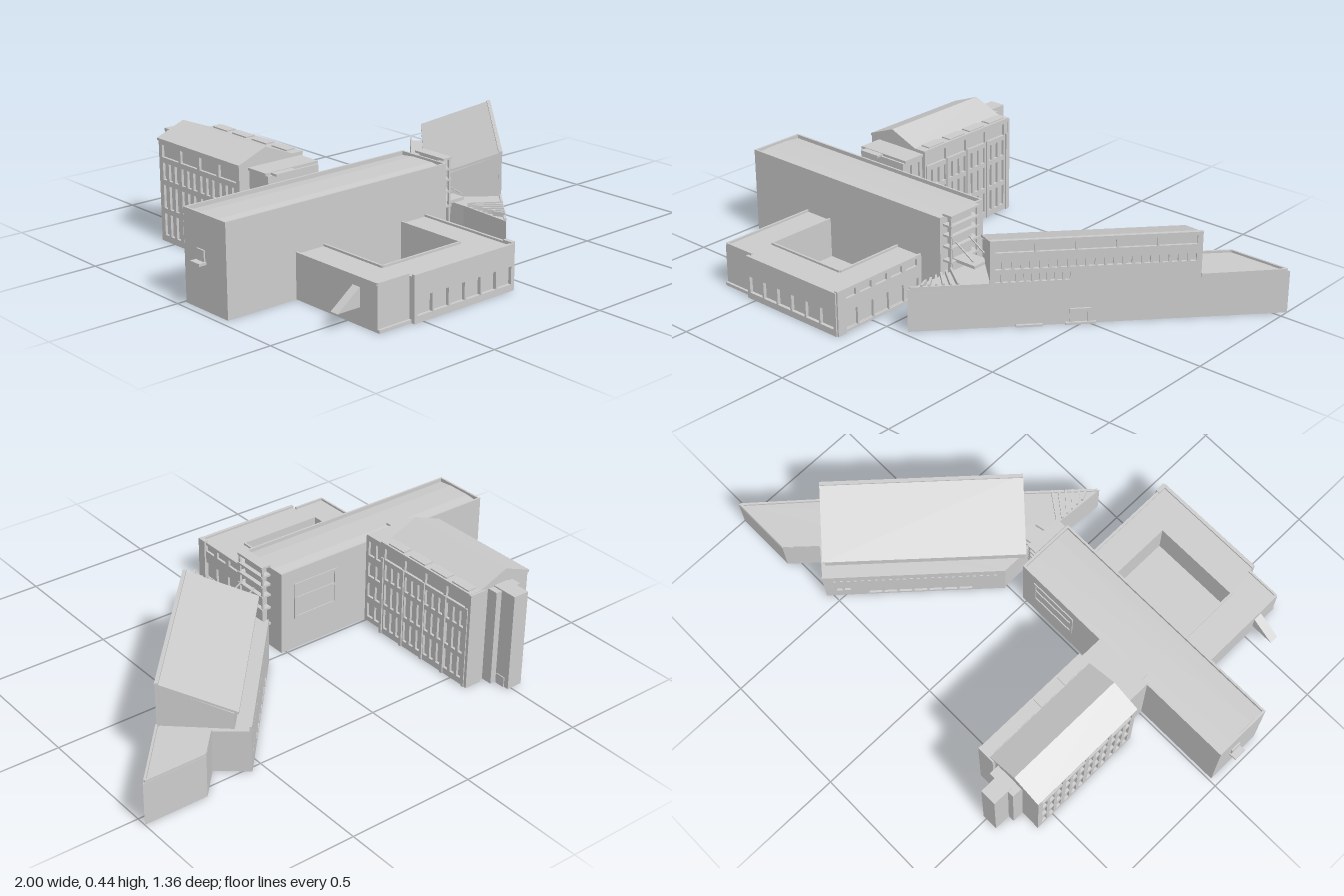
import * as THREE from 'three';

const grey = new THREE.MeshStandardMaterial({ color: 0xcccccc, flatShading: true, side: THREE.DoubleSide });

export function createModel() {
  const model = new THREE.Group();

  const add = (name, geo, parent = model) => {
    const mesh = new THREE.Mesh(geo, grey);
    mesh.name = name;
    parent.add(mesh);
    return mesh;
  };

  // Box given by its limits on each axis
  const box = (name, x0, x1, y0, y1, z0, z1, parent) => {
    const m = add(name, new THREE.BoxGeometry(x1 - x0, y1 - y0, z1 - z0), parent);
    m.position.set((x0 + x1) / 2, (y0 + y1) / 2, (z0 + z1) / 2);
    return m;
  };

  // Upright prism over a ground plan of [x, z] corners
  const prism = (name, plan, y0, y1) => {
    const shape = new THREE.Shape(plan.map(([x, z]) => new THREE.Vector2(x, -z)));
    const geo = new THREE.ExtrudeGeometry(shape, { depth: y1 - y0, bevelEnabled: false });
    return add(name, geo.rotateX(-Math.PI / 2).translate(0, y0, 0));
  };

  const heading = (a, b) => Math.atan2(a[1] - b[1], b[0] - a[0]);

  // Straight bar of thickness t between two plan points
  const beam = (name, a, b, y0, y1, t = 0.008) => {
    const m = add(name, new THREE.BoxGeometry(Math.hypot(b[0] - a[0], b[1] - a[1]), y1 - y0, t));
    m.position.set((a[0] + b[0]) / 2, (y0 + y1) / 2, (a[1] + b[1]) / 2);
    m.rotation.y = heading(a, b);
    return m;
  };

  // Closed or open rim along plan points
  const rim = (name, pts, y0, y1, t) => {
    for (let i = 0; i + 1 < pts.length; i++) beam(name, pts[i], pts[i + 1], y0, y1, t);
  };

  // Wall skin from a to b, with openings [u0, u1, y0, y1], laid on the outside of a core
  const facade = (name, a, b, y0, y1, openings, t = 0.01) => {
    const w = Math.hypot(b[0] - a[0], b[1] - a[1]);
    const rect = (C, u0, u1, v0, v1) => new C([[u0, v0], [u1, v0], [u1, v1], [u0, v1]].map(p => new THREE.Vector2(...p)));
    const shape = rect(THREE.Shape, 0, w, y0, y1);
    for (const o of openings) shape.holes.push(rect(THREE.Path, ...o));
    const m = add(name, new THREE.ExtrudeGeometry(shape, { depth: t, bevelEnabled: false }));
    m.position.set(a[0], 0, a[1]);
    m.rotation.y = heading(a, b);
    return m;
  };

  // Row of n equal openings between u0 and u1
  const row = (n, u0, u1, y0, y1, gap = 0.008) => Array.from({ length: n }, (_, i) => {
    const s = (u1 - u0) / n;
    return [u0 + i * s + gap / 2, u0 + (i + 1) * s - gap / 2, y0, y1];
  });

  // Main hall: long block with a low vaulted roof inside a parapet
  box('hall', -0.97, 0.02, 0, 0.325, 0.01, 0.24);
  const vault = new THREE.Shape([[-0.11, 0], [-0.05, 0.007], [0.05, 0.007], [0.11, 0]].map(p => new THREE.Vector2(...p)));
  add('hallRoof', new THREE.ExtrudeGeometry(vault, { depth: 0.97, bevelEnabled: false }).rotateY(Math.PI / 2))
    .position.set(-0.96, 0.325, 0.125);
  rim('hallParapet', [[-0.97, 0.014], [0.02, 0.014]], 0.32, 0.34);
  rim('hallParapet', [[-0.97, 0.236], [0.02, 0.236]], 0.32, 0.34);
  for (const x of [-0.966, 0.016]) beam('hallParapet', [x, 0.01], [x, 0.24], 0.32, 0.34);
  facade('hallBackFrame', [-0.04, 0.01], [-0.24, 0.01], 0.13, 0.28, [[0.01, 0.19, 0.22, 0.27], [0.01, 0.19, 0.14, 0.21]], 0.004);
  box('endBalcony', -1, -0.97, 0.165, 0.175, 0.08, 0.13);
  box('endDoor', -0.976, -0.97, 0.175, 0.215, 0.085, 0.125);

  // Low wing around an open courtyard
  box('courtyardFloor', -0.68, -0.08, 0, 0.012, 0.24, 0.66);
  prism('courtyardWing', [[-0.68, 0.24], [-0.68, 0.65], [-0.54, 0.65], [-0.54, 0.662], [-0.085, 0.662], [-0.085, 0.24],
    [-0.2, 0.24], [-0.2, 0.53], [-0.55, 0.53], [-0.55, 0.24]], 0, 0.162);
  facade('courtyardFront', [-0.54, 0.662], [-0.075, 0.662], 0, 0.17, row(6, 0.01, 0.455, 0.025, 0.09), 0.013);
  facade('courtyardSide', [-0.085, 0.672], [-0.085, 0.24], 0, 0.17, [...row(5, 0.03, 0.42, 0.01, 0.08), ...row(5, 0.03, 0.42, 0.13, 0.158, 0.02)]);
  rim('courtyardParapet', [[-0.676, 0.24], [-0.676, 0.646], [-0.54, 0.646]], 0.155, 0.17);
  rim('courtyardParapet', [[-0.554, 0.24], [-0.554, 0.534], [-0.196, 0.534], [-0.196, 0.24]], 0.155, 0.17);
  box('cornerPost', -0.085, -0.068, 0, 0.175, 0.63, 0.67);
  const ramp = new THREE.Shape([[-0.775, 0.065], [-0.68, 0.065], [-0.68, 0.135]].map(p => new THREE.Vector2(...p)));
  add('sideCanopy', new THREE.ExtrudeGeometry(ramp, { depth: 0.035, bevelEnabled: false })).position.z = 0.53;

  // Rear tower with a gabled roof
  box('tower', -0.645, -0.38, 0, 0.385, -0.575, -0.095);
  const gable = new THREE.Shape([[-0.658, 0.385], [-0.37, 0.385], [-0.37, 0.392], [-0.42, 0.392], [-0.54, 0.44], [-0.658, 0.394]]
    .map(p => new THREE.Vector2(...p)));
  add('towerRoof', new THREE.ExtrudeGeometry(gable, { depth: 0.488, bevelEnabled: false })).position.z = -0.58;
  const towerWindows = [];
  for (let i = 0; i < 4; i++) {
    const u = 0.015 + i * 0.114;
    towerWindows.push(...row(1, u, u + 0.108, 0.325, 0.372));
    for (const [y0, y1] of [[0.24, 0.305], [0.13, 0.22], [0.025, 0.11]])
      towerWindows.push(...row(3, u, u + 0.108, y0, y1, 0.014));
  }
  facade('towerRightWall', [-0.38, -0.095], [-0.38, -0.575], 0, 0.385, towerWindows);
  facade('towerLeftWall', [-0.645, -0.575], [-0.645, -0.095], 0, 0.385, towerWindows);
  for (let i = 0; i < 5; i++) {
    const z = -0.575 + i * 0.116;
    box('towerPier', -0.372, -0.364, 0, 0.33, z, z + 0.012);
    if (i < 4) box('skylight', -0.418, -0.378, 0.39, 0.397, z + 0.015, z + 0.1);
  }
  box('stairTower', -0.55, -0.485, 0, 0.39, -0.685, -0.575);
  box('stairTowerBase', -0.575, -0.46, 0, 0.385, -0.62, -0.575);
  box('stairTowerSide', -0.44, -0.368, 0, 0.39, -0.587, -0.575);
  box('rearDoor', -0.487, -0.481, 0, 0.04, -0.665, -0.625);

  // Link between tower and hall
  box('link', -0.61, -0.395, 0, 0.368, -0.1, 0.01);
  box('linkRoof', -0.615, -0.38, 0.368, 0.378, -0.1, 0.002);
  facade('linkWall', [-0.395, 0.01], [-0.395, -0.095], 0, 0.368,
    [0.02, 0.11, 0.2, 0.29].flatMap(y => row(2, 0.01, 0.095, y, y + 0.06)));
  box('linkCanopy', -0.59, -0.5, 0.368, 0.376, 0, 0.03);

  // Balconies and bridge between hall and angled wing
  for (const y of [0.095, 0.165, 0.22, 0.265, 0.305, 0.345]) box('balcony', 0.02, 0.062, y, y + 0.008, 0.075, 0.225);
  box('balconyCore', 0.02, 0.045, 0, 0.345, 0.1, 0.2);
  for (const z of [0.08, 0.22]) box('balconyPost', 0.05, 0.058, 0, 0.35, z - 0.004, z + 0.004);
  box('bridge', 0.04, 0.15, 0.165, 0.177, 0.125, 0.2);
  for (const z of [0.127, 0.198]) {
    const rail = box('bridgeRail', 0.05, 0.15, 0.215, 0.22, z - 0.002, z + 0.002);
    rail.rotation.z = -0.55;
  }

  // Angled wing: base
  const tip = [0.085, 0.48], far = [1, -0.54], backA = [0.555, -0.515], backB = [0.1, -0.005];
  prism('wingBase', [tip, far, [0.75, -0.54], [0.655, -0.435], backA, backB, [0.1, 0.25]], 0, 0.165);
  rim('wingParapet', [[0.785, -0.3], [0.99, -0.535], [0.752, -0.535], [0.66, -0.435]], 0.16, 0.174);
  beam('wingParapet', [0.088, 0.472], [0.278, 0.262], 0.16, 0.174);
  facade('wingBackWall', backA, backB, 0, 0.185,
    [...row(7, 0.16, 0.56, 0.012, 0.065), ...row(2, 0.04, 0.1, 0.05, 0.085), ...row(24, 0.03, 0.66, 0.14, 0.15, 0.016)], 0.008);
  for (let i = 0; i < 6; i++) {
    const k = i * 0.026;
    beam('terraceSlat', [0.1, 0.27 + k], [0.205 - k * 0.67, 0.345 + k * 0.75], 0.165, 0.182, 0.008);
  }
  // Entrance on the long front wall
  const along = (s) => [tip[0] + (far[0] - tip[0]) * s, tip[1] + (far[1] - tip[1]) * s];
  facade('frontDoorFrame', along(0.42), along(0.475), 0, 0.062, [[0.008, 0.066, 0.004, 0.054]], 0.008);
  beam('frontStep', along(0.28), along(0.35), 0, 0.008, 0.02);
  beam('frontStep', along(0.41), along(0.49), 0, 0.008, 0.02);

  // Angled wing: upper storeys under a single-pitch roof
  const p0 = [0.28, 0.265], p1 = [0.785, -0.298];
  const len = Math.hypot(p1[0] - p0[0], p1[1] - p0[1]);
  const upper = new THREE.Group();
  upper.name = 'upperStoreys';
  upper.position.set(p0[0], 0, p0[1]);
  upper.rotation.y = heading(p0, p1);
  model.add(upper);
  const slab = (name, pts, x0, x1) => {
    const s = new THREE.Shape(pts.map(p => new THREE.Vector2(...p)));
    add(name, new THREE.ExtrudeGeometry(s, { depth: x1 - x0, bevelEnabled: false }).rotateY(Math.PI / 2), upper).position.x = x0;
  };
  slab('upperBody', [[0.01, 0.16], [0.01, 0.322], [0.265, 0.227], [0.265, 0.16]], 0.004, len - 0.004);
  slab('pitchedRoof', [[0, 0.327], [0, 0.336], [0.28, 0.237], [0.28, 0.228]], 0, len);
  box('roofRidgeTrim', 0, len, 0.328, 0.338, -0.012, 0.002, upper);
  // Ribbon windows in three bands
  const skin = facade('upperFront', p0, p1, 0.16, 0.33,
    [...row(5, 0.015, len - 0.015, 0.29, 0.322), ...row(22, 0.015, len - 0.015, 0.225, 0.255, 0.011),
      ...row(10, 0.015, 0.29, 0.175, 0.207, 0.01)], 0.01);
  skin.translateZ(-0.01);

  return model;
}
